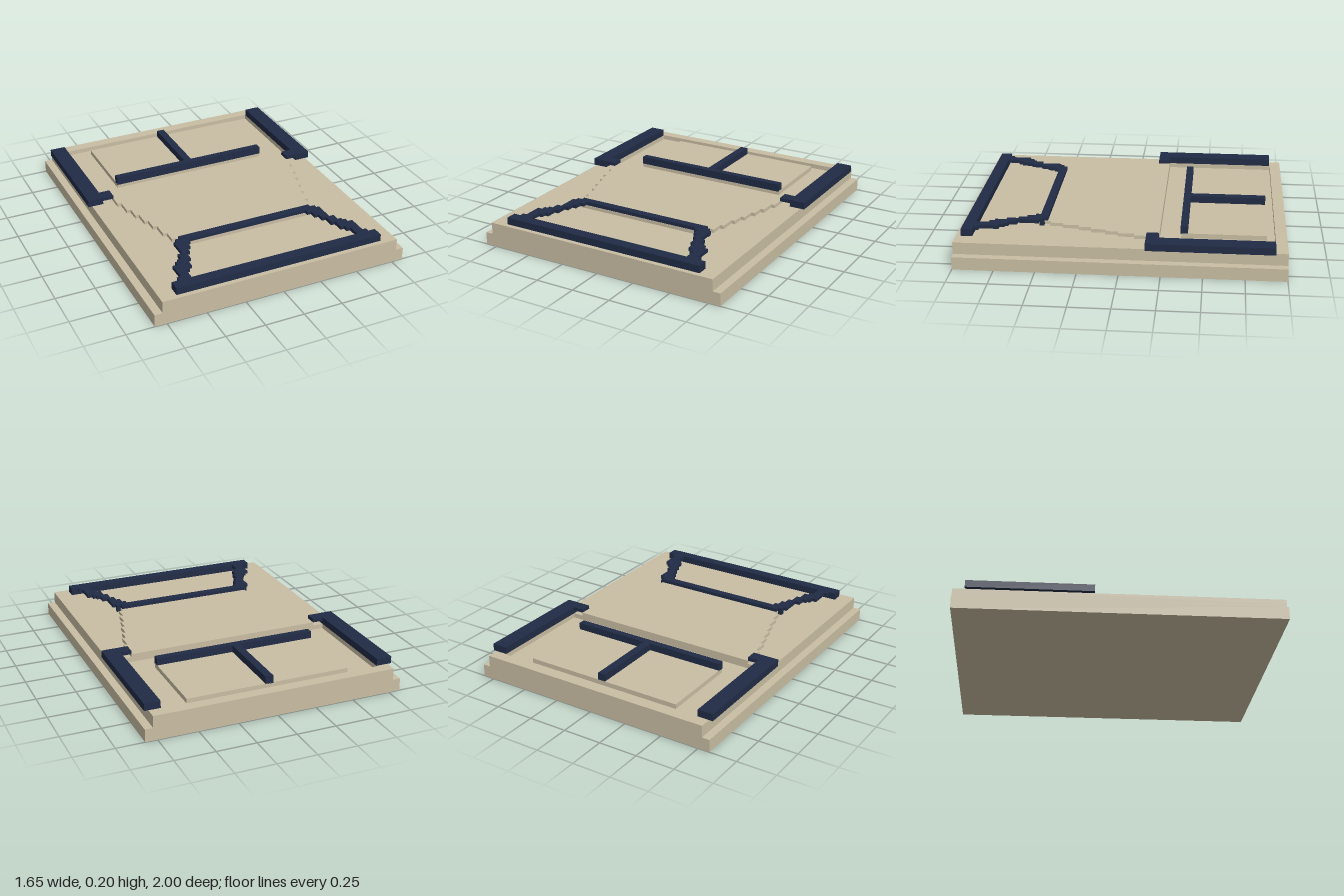
import * as THREE from 'three';

export function createModel() {
  const model = new THREE.Group();
  const stone = new THREE.MeshStandardMaterial({ color: 0xc9bea4 });
  stone.name = 'sand';
  const navy = new THREE.MeshStandardMaterial({ color: 0x202b45 });
  navy.name = 'navy';

  const add = (name, geometry, material) => {
    const mesh = new THREE.Mesh(geometry, material);
    mesh.name = name;
    model.add(mesh);
  };
  // box given by its limits on each axis
  const box = (name, x0, x1, y0, y1, z0, z1, material) => {
    const g = new THREE.BoxGeometry(x1 - x0, y1 - y0, z1 - z0);
    g.translate((x0 + x1) / 2, (y0 + y1) / 2, (z0 + z1) / 2);
    add(name, g, material);
  };
  // flat plate from an outline in x and z, with an optional hole
  const plate = (name, outline, hole, y0, y1, material) => {
    const points = (list) => list.map(([x, z]) => new THREE.Vector2(x, z));
    const shape = new THREE.Shape(points(outline));
    if (hole) shape.holes.push(new THREE.Path(points(hole)));
    const g = new THREE.ExtrudeGeometry(shape, { depth: y1 - y0, bevelEnabled: false });
    g.rotateX(Math.PI / 2);
    g.translate(0, y1, 0);
    add(name, g, material);
  };
  // symmetric staircase outline: each step is [start z, half width]
  const stairs = (steps, end) => {
    const right = [];
    steps.forEach(([z, w], i) => {
      const next = i + 1 < steps.length ? steps[i + 1][0] : end;
      right.push([w, z], [w, next]);
    });
    return [...right, ...right.map(([x, z]) => [-x, z]).reverse()];
  };
  const rect = (w, z0, z1) => [[w, z0], [w, z1], [-w, z1], [-w, z0]];

  // stepped base with a sunken rear court
  box('baseSlab', -0.825, 0.825, 0, 0.08, -1, 1, stone);
  box('courtFloor', -0.775, 0.775, 0.08, 0.125, -1, 1, stone);
  plate('upperBase', rect(0.775, -1, 1), rect(0.7, -0.93, -0.23), 0.125, 0.155, stone);
  box('courtPlatform', -0.525, 0.525, 0.125, 0.155, -0.88, -0.36, stone);

  // raised floor narrowing toward the front
  plate('taperedFloor', stairs([
    [-0.23, 0.63], [-0.08, 0.605], [0.02, 0.58], [0.1, 0.555],
    [0.19, 0.53], [0.27, 0.505], [0.37, 0.48], [0.45, 0.455],
  ], 0.52), null, 0.155, 0.177, stone);

  // T-shaped divider on the platform
  box('dividerBar', -0.525, 0.525, 0.15, 0.2, -0.4, -0.355, navy);
  box('dividerStem', -0.025, 0.025, 0.15, 0.2, -0.88, -0.4, navy);

  // side walls with inward feet
  for (const s of [-1, 1]) {
    const side = (name, a, b, ...rest) => box(name, Math.min(a * s, b * s), Math.max(a * s, b * s), ...rest);
    side('sideWall', 0.7, 0.8, 0.155, 0.2, -0.925, -0.155, navy);
    side('wallFoot', 0.63, 0.7, 0.177, 0.2, -0.23, -0.155, navy);
    side('frameLeg', 0.45, 0.48, 0.155, 0.18, 0.49, 0.52, navy);
  }

  // stepped trapezoid frame at the front
  plate('frontFrame', stairs([
    [0.47, 0.45], [0.495, 0.48], [0.52, 0.5], [0.65, 0.53], [0.7, 0.555],
    [0.73, 0.58], [0.74, 0.605], [0.87, 0.63], [0.9, 0.675],
  ].map(([z, w], i) => (i === 5 ? [0.72, w - 0.005] : i === 6 ? [0.75, w] : [z, w])), 0.97),
  stairs([
    [0.52, 0.4], [0.55, 0.425], [0.6, 0.45], [0.65, 0.475], [0.72, 0.5],
    [0.79, 0.525], [0.82, 0.55],
  ], 0.9), 0.178, 0.2, navy);
  box('frameFrontBar', -0.675, 0.675, 0.155, 0.178, 0.9, 0.97, navy);

  return model;
}
